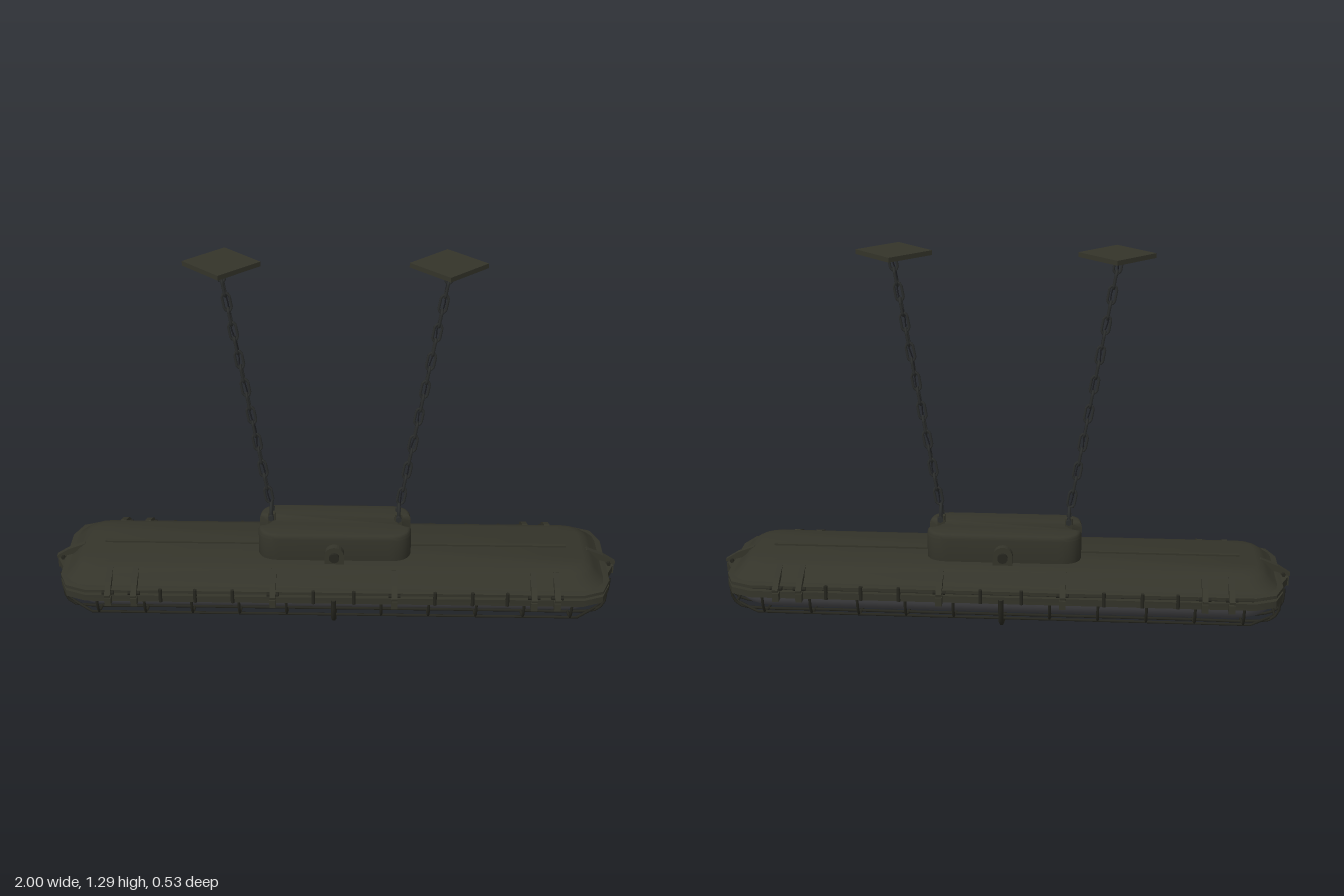
import * as THREE from 'three';
import { toCreasedNormals } from 'three/addons/utils/BufferGeometryUtils.js';

const V = (x, y, z) => new THREE.Vector3(x, y, z);

// Stack of chamfered or rounded rectangles; each level is [halfX, halfZ, corner, y], rising in y
function loft(levels, segs, crease) {
  const pos = [], idx = [], n = 4 * (segs + 1);
  for (const [hx, hz, c, y] of levels) {
    for (let q = 0; q < 4; q++) {
      const sx = q === 0 || q === 3 ? 1 : -1, sz = q < 2 ? 1 : -1;
      for (let k = 0; k <= segs; k++) {
        const a = (q + k / segs) * Math.PI / 2;
        pos.push(sx * (hx - c) + c * Math.cos(a), y, sz * (hz - c) + c * Math.sin(a));
      }
    }
  }
  const top = (levels.length - 1) * n, c0 = pos.length / 3;
  pos.push(0, levels[0][3], 0, 0, levels[levels.length - 1][3], 0);
  for (let i = 0; i < n; i++) {
    const j = (i + 1) % n;
    for (let l = 0; l < top; l += n) {
      idx.push(l + i, l + n + i, l + n + j, l + i, l + n + j, l + j);
    }
    idx.push(c0, i, j, c0 + 1, top + j, top + i);
  }
  const g = new THREE.BufferGeometry();
  g.setAttribute('position', new THREE.Float32BufferAttribute(pos, 3));
  g.setIndex(idx);
  return toCreasedNormals(g, crease);
}

// Bar bent through a few points
function bar(points, r, segs = 32, closed = false, tension = null) {
  const curve = new THREE.CatmullRomCurve3(points, closed, tension === null ? 'centripetal' : 'catmullrom', tension ?? 0.5);
  return new THREE.TubeGeometry(curve, segs, r, 6, closed);
}

// Flat profile extruded symmetrically about its own plane
function slab(pts, thick) {
  const shape = new THREE.Shape(pts.map(p => new THREE.Vector2(p[0], p[1])));
  return new THREE.ExtrudeGeometry(shape, { depth: thick, bevelEnabled: false }).translate(0, 0, -thick / 2);
}

export function createModel() {
  const root = new THREE.Group();
  const mat = (name, color) => Object.assign(new THREE.MeshStandardMaterial({ color }), { name });
  const olive = mat('olive paint', 0x34342a);
  const cageMat = mat('dark cage metal', 0x26261f);
  const glass = mat('smoky glass', 0x4c4c4f);
  const steel = mat('chain steel', 0x2b2d2c);
  const black = mat('cable black', 0x1d1e22);
  const add = (name, geo, m, parent = root, x = 0, y = 0, z = 0) => {
    const mesh = new THREE.Mesh(geo, m);
    mesh.name = name;
    mesh.position.set(x, y, z);
    parent.add(mesh);
    return mesh;
  };

  // Housing shell and the two rims with a gap between them
  add('housing', loft([
    [0.95, 0.22, 0.09, 0.165], [0.925, 0.192, 0.085, 0.185], [0.912, 0.18, 0.08, 0.2],
    [0.897, 0.162, 0.075, 0.213], [0.875, 0.135, 0.06, 0.222],
  ], 4, 0.6), olive);
  add('upperRim', loft([[0.962, 0.232, 0.1, 0.156], [0.962, 0.232, 0.1, 0.167], [0.945, 0.215, 0.09, 0.172]], 2, 0.4), olive);
  add('gasket', loft([[0.945, 0.215, 0.09, 0.14], [0.945, 0.215, 0.09, 0.16]], 2, 0.4), cageMat);
  add('lowerRim', loft([[0.962, 0.232, 0.1, 0.122], [0.962, 0.232, 0.1, 0.146]], 2, 0.4), olive);

  // Glass bowl
  add('glassBowl', loft([
    [0.84, 0.1, 0.08, 0.043], [0.885, 0.145, 0.1, 0.052], [0.915, 0.172, 0.1, 0.07],
    [0.932, 0.19, 0.1, 0.095], [0.938, 0.196, 0.1, 0.13],
  ], 5, 0.9), glass);

  // Long ridges on the housing
  for (const s of [-1, 1]) {
    add('topRidge', new THREE.BoxGeometry(0.56, 0.012, 0.014), olive, root, s * 0.54, 0.222, 0);
  }

  // Central junction box with hollowed ends
  const e = 0.255, w = 0.098, o = new THREE.Shape();
  o.moveTo(-0.19, -w);
  o.lineTo(0.19, -w);
  o.quadraticCurveTo(e, -w, e, -0.045);
  o.quadraticCurveTo(0.215, -0.03, 0.212, 0);
  o.quadraticCurveTo(0.215, 0.03, e, 0.045);
  o.quadraticCurveTo(e, w, 0.19, w);
  o.lineTo(-0.19, w);
  o.quadraticCurveTo(-e, w, -e, 0.045);
  o.quadraticCurveTo(-0.215, 0.03, -0.212, 0);
  o.quadraticCurveTo(-0.215, -0.03, -e, -0.045);
  o.quadraticCurveTo(-e, -w, -0.19, -w);
  const box = new THREE.ExtrudeGeometry(o, { depth: 0.09, bevelSize: 0.013, bevelThickness: 0.018, bevelSegments: 3, curveSegments: 8 });
  add('junctionBox', toCreasedNormals(box.rotateX(-Math.PI / 2), 0.6), olive, root, 0, 0.214, 0);

  // Arched cable inlets on both long sides of the box
  const arch = new THREE.Shape();
  arch.moveTo(-0.034, 0);
  arch.lineTo(0.034, 0);
  arch.lineTo(0.034, 0.04);
  arch.absarc(0, 0.04, 0.034, 0, Math.PI, false);
  for (const s of [-1, 1]) {
    add('inletArch', new THREE.ExtrudeGeometry(arch, { depth: 0.035, bevelEnabled: false, curveSegments: 6 }), olive, root, 0, 0.214, s > 0 ? 0.1 : -0.135);
    add('inletPlug', new THREE.CylinderGeometry(0.018, 0.018, 0.012, 10).rotateX(Math.PI / 2), cageMat, root, 0, 0.25, s * 0.139);
  }

  // Clips: lever fin above the rim and a catch below it; outward is +x in the profile
  const lever = slab([[-0.085, 0.208], [-0.035, 0.165], [0.032, 0.155], [0.034, 0.164], [-0.01, 0.192], [-0.07, 0.216]], 0.02);
  const catchBlock = new THREE.BoxGeometry(0.036, 0.03, 0.022);
  const clip = (x, z, turn) => {
    const g = new THREE.Group();
    g.name = 'clip';
    g.position.set(x, 0, z);
    g.rotation.y = turn;
    add('clipLever', lever, olive, g);
    add('clipCatch', catchBlock, olive, g, 0.012, 0.135, 0);
    add('clipPin', new THREE.CylinderGeometry(0.007, 0.007, 0.042, 8).rotateX(Math.PI / 2), cageMat, g, 0.01, 0.162, 0);
    root.add(g);
  };
  for (const s of [-1, 1]) {
    for (const x of [-0.78, -0.69, -0.21, 0.21, 0.69, 0.77]) clip(x, s * 0.23, -s * Math.PI / 2);
    clip(s * 0.965, 0, s > 0 ? 0 : Math.PI);
    // Pointed end of the rim
    const nose = slab([[s * 0.95, -0.1], [s * 0.95, 0.1], [s * 0.975, 0.045], [s * 0.995, 0], [s * 0.975, -0.045]], 0.026);
    add('rimNose', nose.rotateX(Math.PI / 2), olive, root, 0, 0.138, 0);
    // Small rim bolts
    for (const x of [-0.6, -0.48, -0.35, -0.07, 0.07, 0.35, 0.48, 0.6]) {
      add('rimBolt', new THREE.CylinderGeometry(0.007, 0.007, 0.05, 6), cageMat, root, x, 0.147, s * 0.231);
    }
  }

  // Wire cage: lengthwise bars, cross ribs, a lower ring and the central strap
  const cage = new THREE.Group();
  cage.name = 'cage';
  root.add(cage);
  for (const z of [-0.13, -0.06, 0.06, 0.13]) {
    const k = Math.abs(z) > 0.1 ? 0.02 : 0, y = k ? 0.036 : 0.03;
    const half = [[0.975 - k, 0.132], [0.97 - k, 0.075], [0.945 - k, 0.045], [0.89 - k, y], [0.6, y]];
    const pts = [...half.map(p => V(-p[0], p[1], z)), ...half.reverse().map(p => V(p[0], p[1], z))];
    add('longBar', bar(pts, 0.005, 80), cageMat, cage);
  }
  const rib = [[0.222, 0.132], [0.212, 0.085], [0.19, 0.052], [0.13, 0.035], [0, 0.029]];
  const across = (x, prof) => [
    ...prof.map(p => V(x, p[1], -p[0])), ...prof.slice(0, -1).reverse().map(p => V(x, p[1], p[0])),
  ];
  for (let i = -5; i <= 5; i++) {
    if (i) add('crossRib', bar(across(i * 0.165, rib), 0.005, 32), cageMat, cage);
  }
  const ring = [[0.85, 0.19], [0.94, 0.11], [0.94, -0.11], [0.85, -0.19], [-0.85, -0.19], [-0.94, -0.11], [-0.94, 0.11], [-0.85, 0.19]];
  add('lowerRing', bar(ring.map(p => V(p[0], 0.05, p[1])), 0.005, 140, true, 0), cageMat, cage);
  const strap = [[0.236, 0.14], [0.226, 0.085], [0.197, 0.036], [0.11, 0.016], [0, 0.01]];
  add('centreStrap', bar(across(0, strap), 0.009, 36), cageMat, cage);

  // Hangers: lug, shackle, chain, cable and ceiling plate
  const ringPts = [[0.0125, 0.02], [0.006, 0.031], [-0.006, 0.031], [-0.0125, 0.02], [-0.0125, -0.02], [-0.006, -0.031], [0.006, -0.031], [0.0125, -0.02]];
  const link = bar(ringPts.map(p => V(p[0], p[1], 0)), 0.0048, 28, true, 0);
  for (const s of [-1, 1]) {
    const g = new THREE.Group();
    g.name = 'hanger';
    root.add(g);
    add('lug', new THREE.BoxGeometry(0.026, 0.14, 0.022), olive, g, s * 0.224, 0.28, 0);
    add('lugBolt', new THREE.CylinderGeometry(0.007, 0.007, 0.072, 8).rotateX(Math.PI / 2), steel, g, s * 0.224, 0.346, 0);
    for (const t of [-1, 1]) {
      add('boltHead', new THREE.CylinderGeometry(0.011, 0.011, 0.01, 6).rotateX(Math.PI / 2), steel, g, s * 0.224, 0.346, t * 0.034);
    }
    const arc = [V(0, 0.34, -0.02), V(0, 0.372, -0.018), V(0, 0.392, 0), V(0, 0.372, 0.018), V(0, 0.34, 0.02)];
    add('shackle', bar(arc, 0.006, 16), steel, g, s * 0.224, 0, 0);

    const chain = new THREE.Group();
    chain.name = 'chain';
    chain.position.set(s * 0.224, 0.37, 0);
    chain.rotation.z = -s * 0.168;
    g.add(chain);
    for (let i = 0; i < 17; i++) {
      const l = add('chainLink', link, steel, chain, 0, 0.053 + i * 0.0527, 0);
      l.rotation.y = i % 2 ? Math.PI / 2 : 0;
    }
    // Cable weaving through the links
    const wire = [];
    for (let i = 0; i <= 18; i++) wire.push(V(0.004 * Math.cos(i * 2), i * 0.05, 0.004 * Math.sin(i * 2)));
    add('cable', bar(wire, 0.0025, 60), black, chain);

    // Diamond-turned plate with a smaller mount below
    add('ceilingPlate', new THREE.BoxGeometry(0.181, 0.016, 0.181).rotateY(Math.PI / 4), olive, g, s * 0.37, 1.284, 0);
    add('plateMount', new THREE.CylinderGeometry(0.064, 0.054, 0.014, 4), olive, g, s * 0.37, 1.269, 0);
  }
  return root;
}
